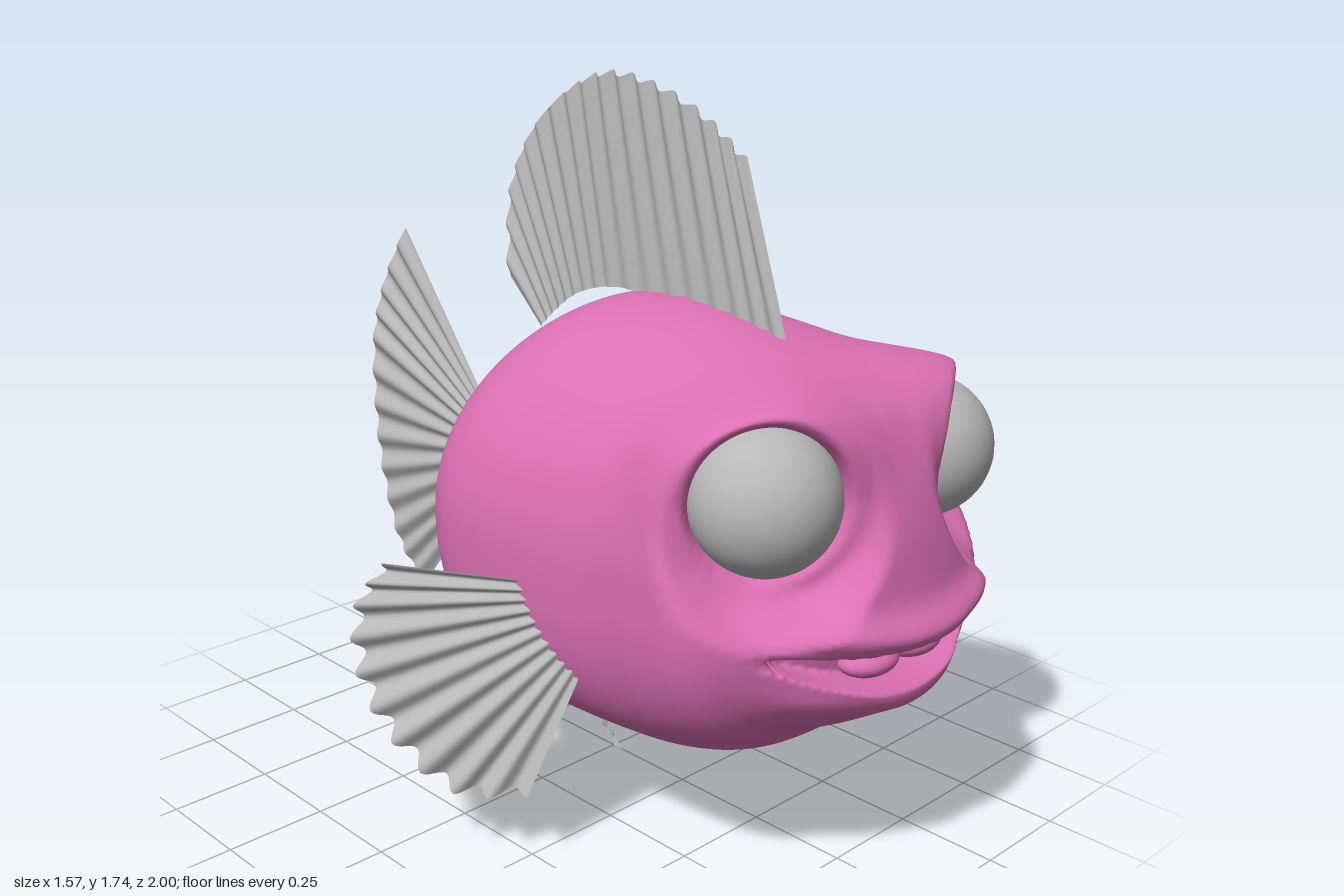
import * as THREE from 'three';

const pink = new THREE.MeshStandardMaterial({ color: 0xdc70b3 });
pink.name = 'pinkSkin';
const grey = new THREE.MeshStandardMaterial({ color: 0xb8b8b8, side: THREE.DoubleSide });
grey.name = 'greyFin';

const { smoothstep, lerp } = THREE.MathUtils;
const V = (p) => new THREE.Vector3(...p);
const bell = (x, width) => Math.exp(-(x * x) / (width * width));

// Eye centre (left side), viewing axis and radius
const EYE = V([0.265, 0.95, 0.73]);
const AXIS = V([0.6, 0, 0.8]);
const EYE_R = 0.163;

// Body sections from tail to lips: z, top, bottom, half width, squareness above, squareness below
const SECTIONS = [
  [-0.575, 0.715, 0.705, 0.001, 2, 2],
  [-0.56, 0.79, 0.64, 0.03, 2, 2],
  [-0.53, 0.835, 0.59, 0.06, 2, 2],
  [-0.45, 0.88, 0.53, 0.125, 2, 2],
  [-0.36, 0.93, 0.45, 0.23, 2, 2.1],
  [-0.25, 1.04, 0.37, 0.36, 2, 2.2],
  [-0.1, 1.16, 0.29, 0.465, 2, 2.4],
  [0.05, 1.23, 0.24, 0.49, 2, 2.6],
  [0.22, 1.25, 0.235, 0.48, 2, 2.7],
  [0.4, 1.235, 0.24, 0.46, 2.1, 2.7],
  [0.55, 1.205, 0.27, 0.475, 2.4, 2.6],
  [0.68, 1.185, 0.32, 0.485, 2.6, 2.5],
  [0.77, 1.155, 0.385, 0.44, 2.6, 2.4],
  [0.84, 1.1, 0.42, 0.36, 2.4, 2.3],
  [0.89, 1.0, 0.45, 0.27, 2.2, 2.2],
  [0.93, 0.88, 0.48, 0.2, 2, 2],
  [0.95, 0.78, 0.53, 0.13, 2, 2],
  [0.963, 0.7, 0.575, 0.07, 2, 2],
  [0.968, 0.63, 0.625, 0.001, 2, 2],
];

// Smooth interpolation of the section table at t in 0..1
function sectionAt(t) {
  const f = t * (SECTIONS.length - 1);
  const i = Math.min(Math.floor(f), SECTIONS.length - 2);
  const u = f - i;
  const at = (k) => SECTIONS[Math.max(0, Math.min(SECTIONS.length - 1, k))];
  return SECTIONS[0].map((_, c) => {
    const [a, b, d, e] = [at(i - 1)[c], at(i)[c], at(i + 1)[c], at(i + 2)[c]];
    return b + 0.5 * u * (d - a + u * (2 * a - 5 * b + 4 * d - e + u * (3 * (b - d) + e - a)));
  });
}

// Presses in the eye socket with a raised lid, and the mouth with its lips
function sculptFace(p) {
  const side = Math.sign(p.x) || 1;
  p.x = Math.abs(p.x);

  const rel = p.clone().sub(EYE);
  const s = rel.dot(AXIS);
  const radial = rel.clone().addScaledVector(AXIS, -s);
  const r = radial.length();
  const brow = Math.max(0, radial.y / (r || 1));
  const lid = -0.06 + 0.085 * smoothstep(r, 0.13, 0.175) + (0.012 + 0.03 * brow) * bell(r - 0.19, 0.03);
  const pull = (1 - smoothstep(r, 0.195, 0.29)) * smoothstep(s, -0.2, 0);
  p.addScaledVector(AXIS, (lid - s) * pull);

  if (p.z > 0.6 && p.x < 0.42) {
    const fade = 1 - smoothstep(p.x, 0.26, 0.4);
    const dy = p.y - (0.578 + 0.5 * p.x * p.x);
    const half = 0.01 + 0.038 * Math.max(0, 1 - (p.x / 0.34) ** 2);
    const opening = 1 - smoothstep(Math.abs(dy), half * 0.6, half * 1.25);
    p.z += fade * (0.035 * bell(dy - 0.085, 0.04) + 0.012 * bell(dy + 0.085, 0.04) - 0.09 * opening);
  }
  p.x *= side;
}

function bodyGeometry() {
  const rings = 220, segs = 144;
  const pos = [], index = [];
  for (let i = 0; i <= rings; i++) {
    const [z, top, bottom, w, nTop, nLow] = sectionAt(i / rings);
    const mid = (top + bottom) / 2, h = (top - bottom) / 2;
    for (let j = 0; j < segs; j++) {
      const a = (j / segs) * Math.PI * 2;
      const c = Math.cos(a), sn = Math.sin(a);
      const e = 2 / (sn > 0 ? nTop : nLow);
      const p = new THREE.Vector3(
        w * Math.sign(c) * Math.abs(c) ** e,
        mid + h * Math.sign(sn) * Math.abs(sn) ** e, z);
      if (z > 0.3) sculptFace(p);
      pos.push(p.x - 0.005, p.y, p.z);
      if (i < rings) {
        const k = i * segs + j, n = i * segs + ((j + 1) % segs);
        index.push(k, n, k + segs, n, n + segs, k + segs);
      }
    }
  }
  const g = new THREE.BufferGeometry();
  g.setAttribute('position', new THREE.Float32BufferAttribute(pos, 3));
  g.setIndex(index);
  g.computeVertexNormals();
  return g;
}

// Pleated fan between a root curve and a tip curve, rippling along the normal
function makeFin(name, root, tip, normal, pleats, amp, scallop = 0.025) {
  const rootCurve = new THREE.CatmullRomCurve3(root.map(V));
  const tipCurve = new THREE.CatmullRomCurve3(tip.map(V));
  const n = V(normal).normalize();
  const cols = pleats * 10, rows = 8;
  const pos = [], index = [];
  for (let i = 0; i <= cols; i++) {
    const u = i / cols;
    const wave = Math.cos(u * pleats * Math.PI * 2);
    const a = rootCurve.getPoint(u), b = tipCurve.getPoint(u);
    for (let j = 0; j <= rows; j++) {
      const v = j / rows;
      const p = a.clone().lerp(b, v * (1 + scallop * (wave - 1) * 0.5));
      p.addScaledVector(n, amp * wave * lerp(0.35, 1, v));
      pos.push(p.x, p.y, p.z);
      if (i < cols && j < rows) {
        const k = i * (rows + 1) + j, m = k + rows + 1;
        index.push(k, m, k + 1, m, m + 1, k + 1);
      }
    }
  }
  const g = new THREE.BufferGeometry();
  g.setAttribute('position', new THREE.Float32BufferAttribute(pos, 3));
  g.setIndex(index);
  g.computeVertexNormals();
  const mesh = new THREE.Mesh(g, grey);
  mesh.name = name;
  return mesh;
}

// Fins on the middle plane are given as [z, y]
const median = (pts) => pts.map(([z, y]) => [-0.01, y, z]);

export function createModel() {
  const fish = new THREE.Group();
  fish.name = 'fish';
  const add = (name, geo, mat, pos, scale = [1, 1, 1]) => {
    const m = new THREE.Mesh(geo, mat);
    m.name = name;
    m.position.set(...pos);
    m.scale.set(...scale);
    fish.add(m);
  };

  add('body', bodyGeometry(), pink, [0, 0, 0]);

  fish.add(makeFin('dorsalFin',
    median([[0.56, 1.18], [0.4, 1.22], [0.2, 1.235], [0.0, 1.235], [-0.12, 1.2], [-0.2, 1.145], [-0.26, 1.09]]),
    median([[0.42, 1.59], [0.3, 1.67], [0.14, 1.73], [-0.02, 1.745], [-0.16, 1.69], [-0.29, 1.58], [-0.37, 1.43], [-0.385, 1.2]]),
    [1, 0, 0], 17, 0.009));
  fish.add(makeFin('tailFin',
    median([[-0.5, 0.85], [-0.53, 0.71], [-0.5, 0.58]]),
    median([[-0.83, 1.265], [-0.93, 1.11], [-0.99, 0.95], [-1.0, 0.73], [-0.975, 0.52], [-0.91, 0.33], [-0.8, 0.22]]),
    [1, 0, 0], 13, 0.01));
  fish.add(makeFin('bellyFin',
    median([[0.02, 0.03], [-0.03, 0.09], [-0.13, 0.185], [-0.27, 0.285]]),
    median([[0.035, 0.003], [-0.04, 0.06], [-0.14, 0.155], [-0.26, 0.265]]),
    [1, 0, 0], 8, 0.008, 0.1));

  // Paired eyes, side fins and the two lobes inside the mouth
  for (const [side, label] of [[1, 'left'], [-1, 'right']]) {
    const flip = (pts) => pts.map(([x, y, z]) => [x * side - 0.003, y, z]);
    add(label + 'Eye', new THREE.SphereGeometry(EYE_R, 48, 32), grey, [EYE.x * side - 0.005, EYE.y, EYE.z]);
    add(label + 'MouthLobe', new THREE.SphereGeometry(1, 32, 20), pink,
      [0.075 * side - 0.008, 0.583, 0.87], [0.08, 0.036, 0.06]);
    fish.add(makeFin(label + 'SideFin',
      flip([[0.46, 0.67, 0.22], [0.445, 0.57, 0.27], [0.43, 0.46, 0.34]]),
      flip([[0.69, 0.71, -0.02], [0.755, 0.62, -0.045], [0.775, 0.465, -0.02], [0.74, 0.31, 0.06], [0.65, 0.19, 0.16], [0.54, 0.19, 0.29]]),
      [0.78 * side, 0.1, 0.6], 10, 0.012, 0.06));
  }
  return fish;
}
